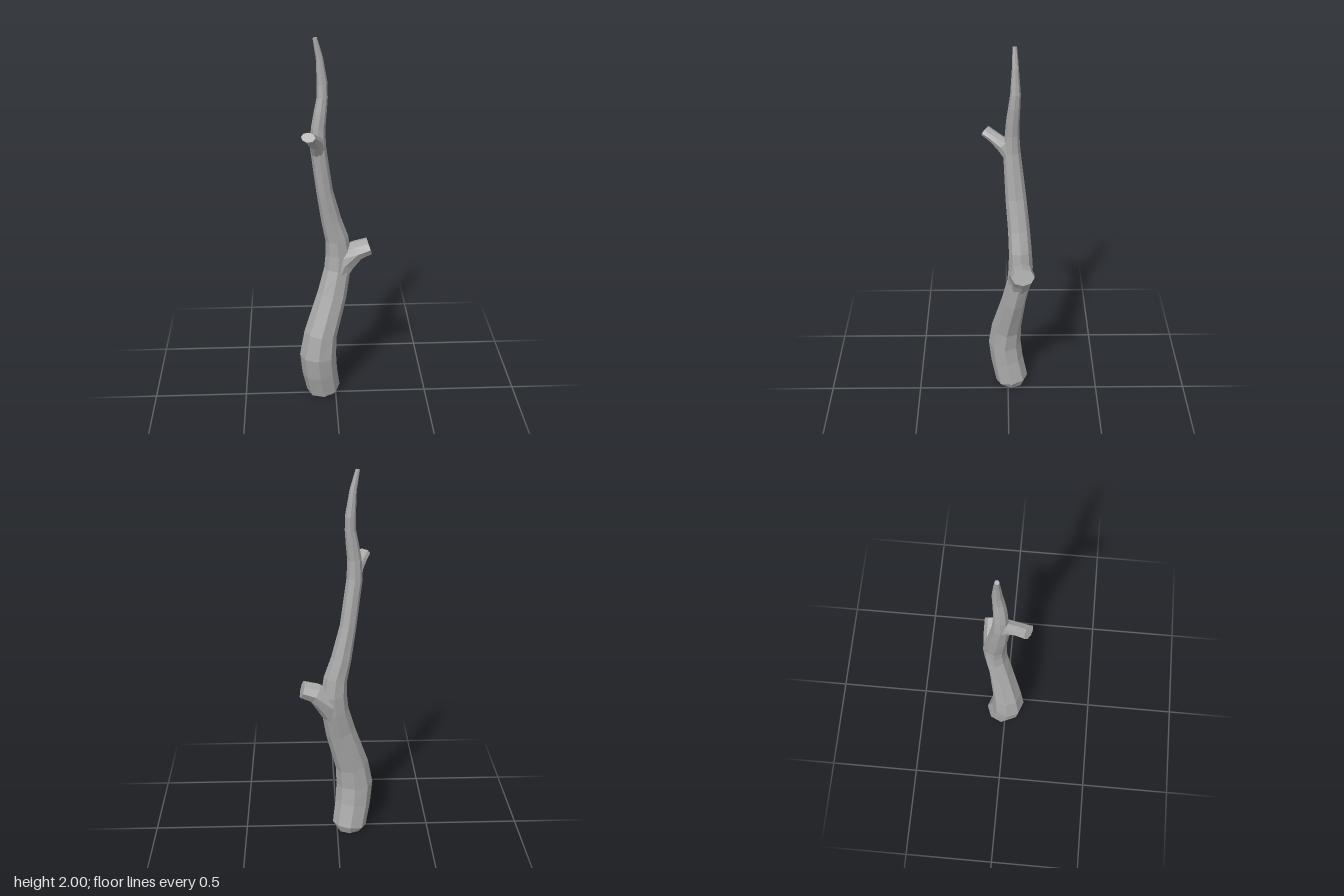
import * as THREE from 'three';

const SIDES = 8;

// Closed faceted limb through rows of [x, y, z, width radius, depth radius]
function limb(rows, ref) {
  const pts = rows.map(([x, y, z]) => new THREE.Vector3(x, y, z));
  const last = pts.length - 1;
  const pos = [], idx = [];
  rows.forEach(([, , , ru, rv = ru], i) => {
    const t = pts[Math.min(i + 1, last)].clone().sub(pts[Math.max(i - 1, 0)]).normalize();
    const u = ref.clone().cross(t).normalize();
    const v = t.clone().cross(u);
    for (let k = 0; k < SIDES; k++) {
      const a = (k / SIDES) * Math.PI * 2;
      const p = pts[i].clone().addScaledVector(u, Math.cos(a) * ru).addScaledVector(v, Math.sin(a) * rv);
      pos.push(p.x, p.y, p.z);
    }
  });
  for (let i = 0; i < last; i++) {
    for (let k = 0; k < SIDES; k++) {
      const a = i * SIDES + k, b = i * SIDES + (k + 1) % SIDES;
      idx.push(a, b, b + SIDES, a, b + SIDES, a + SIDES);
    }
  }
  // flat end caps
  const top = last * SIDES;
  for (let k = 1; k < SIDES - 1; k++) {
    idx.push(0, k + 1, k, top, top + k, top + k + 1);
  }
  const g = new THREE.BufferGeometry();
  g.setAttribute('position', new THREE.Float32BufferAttribute(pos, 3));
  g.setIndex(idx);
  const flat = g.toNonIndexed();
  flat.computeVertexNormals();
  return flat;
}

export function createModel() {
  const group = new THREE.Group();
  group.name = 'branch';
  const bark = new THREE.MeshStandardMaterial({ color: 0xa8a8a8, flatShading: true });
  bark.name = 'grey bark';

  const add = (name, rows, ref) => {
    const mesh = new THREE.Mesh(limb(rows, ref), bark);
    mesh.name = name;
    group.add(mesh);
  };

  // Crooked main stem, tapering to the tip
  add('stem', [
    [-0.068, 0, -0.022, 0.07],
    [-0.068, 0.025, -0.022, 0.092, 0.09],
    [-0.088, 0.15, 0.005, 0.096, 0.09],
    [-0.097, 0.26, 0.018, 0.099, 0.09],
    [-0.082, 0.38, 0.008, 0.09, 0.082],
    [-0.018, 0.6, -0.032, 0.08, 0.066],
    [0.012, 0.74, -0.06, 0.071, 0.064],
    [0.018, 0.83, -0.067, 0.068, 0.064],
    [0.01, 0.92, -0.064, 0.062, 0.06],
    [-0.02, 1.03, -0.057, 0.053, 0.057],
    [-0.055, 1.2, -0.041, 0.043, 0.054],
    [-0.088, 1.45, -0.02, 0.041, 0.044],
    [-0.086, 1.55, -0.021, 0.036, 0.036],
    [-0.076, 1.62, -0.024, 0.033, 0.034],
    [-0.065, 1.7, -0.031, 0.028, 0.03],
    [-0.064, 1.77, -0.037, 0.027, 0.026],
    [-0.077, 1.9, -0.036, 0.018, 0.017],
    [-0.099, 2, -0.033, 0.011]
  ], new THREE.Vector3(0, 0, -1));

  // Cut-off side branch with a flared root
  add('leftStub', [
    [-0.01, 0.67, -0.05, 0.055, 0.06],
    [0.04, 0.78, -0.066, 0.064, 0.074],
    [0.115, 0.845, -0.071, 0.064, 0.054],
    [0.183, 0.867, -0.075, 0.06, 0.044]
  ], new THREE.Vector3(0, 1, 0));

  // Smaller cut twig on the front, near the top
  add('frontStub', [
    [-0.088, 1.42, -0.015, 0.035, 0.034],
    [-0.098, 1.485, 0.024, 0.036, 0.04],
    [-0.12, 1.52, 0.073, 0.036, 0.028],
    [-0.139, 1.545, 0.115, 0.038, 0.025]
  ], new THREE.Vector3(0, 1, 0));

  return group;
}
